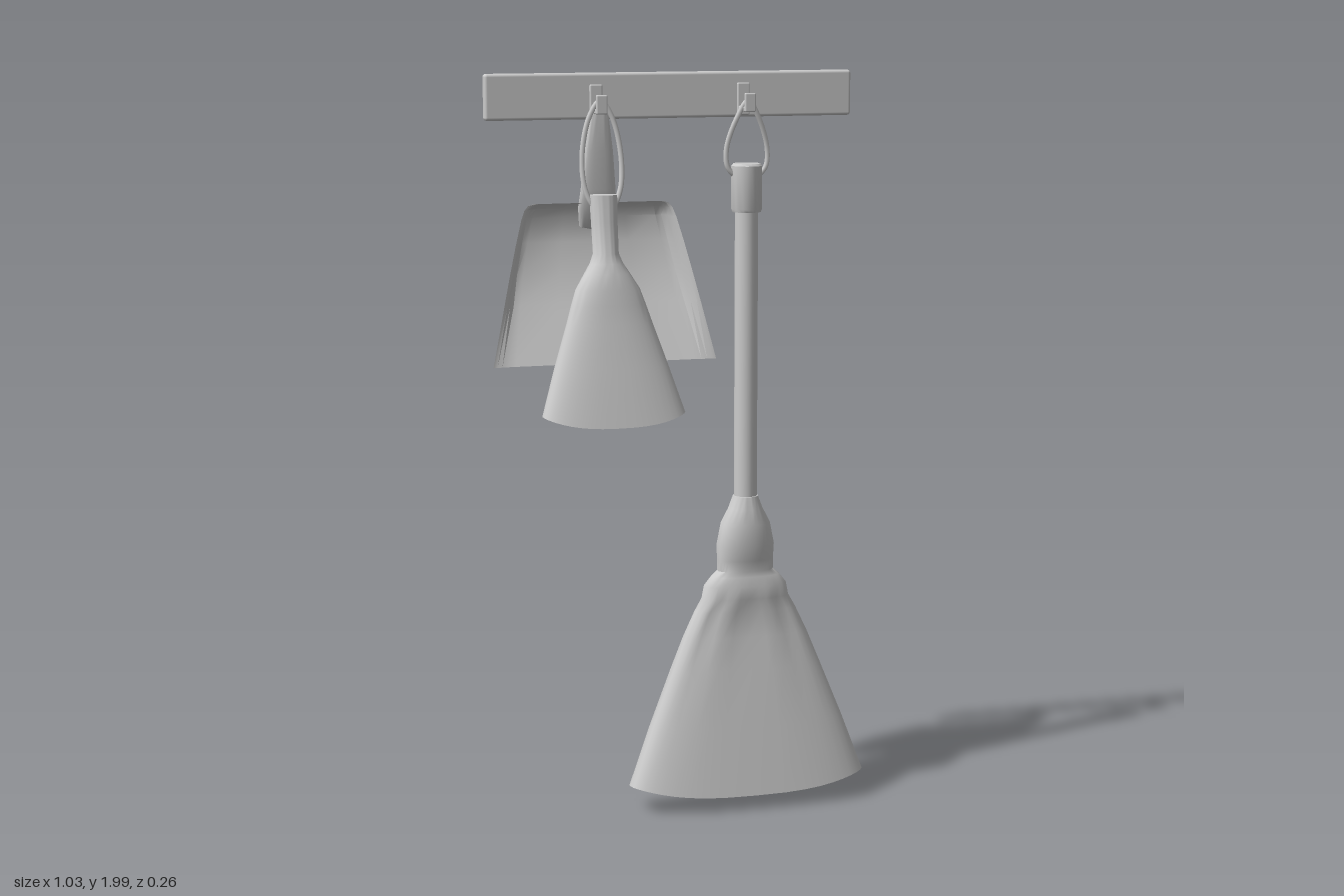
import * as THREE from 'three';
import { toCreasedNormals } from 'three/addons/utils/BufferGeometryUtils.js';
import { RoundedBoxGeometry } from 'three/addons/geometries/RoundedBoxGeometry.js';

const grey = new THREE.MeshStandardMaterial({ color: 0xcccccc });
const thin = new THREE.MeshStandardMaterial({ color: 0xcccccc, side: THREE.DoubleSide });

function add(parent, name, geometry, x = 0, y = 0, z = 0, material = grey) {
  const mesh = new THREE.Mesh(geometry, material);
  mesh.name = name;
  mesh.position.set(x, y, z);
  parent.add(mesh);
  return mesh;
}

// Surface from rows of equally many points; rows run downwards
function skin(rows, closed, crease = 0.7) {
  const n = rows[0].length, index = [];
  for (let i = 0; i < rows.length - 1; i++) {
    for (let j = 0; j < (closed ? n : n - 1); j++) {
      const k = (j + 1) % n;
      const a = i * n + j, b = i * n + k, c = b + n, d = a + n;
      index.push(a, b, c, a, c, d);
    }
  }
  const geo = new THREE.BufferGeometry();
  geo.setAttribute('position', new THREE.Float32BufferAttribute(rows.flat(2), 3));
  geo.setIndex(index);
  return toCreasedNormals(geo, crease);
}

// Flattened body from sections [y, halfWidth, halfDepth, zCentre, sag, tilt, ripple]
function loft(sections, sides = 40) {
  const rows = sections.map(([y, w, d, zc, sag = 0, tilt = 0, ripple = 0]) => {
    const e = Math.min(1, Math.max(0.6, 1 - 0.1 * (w / d - 1)));
    const row = [];
    for (let j = 0; j < sides; j++) {
      const a = (j / sides) * Math.PI * 2, c = Math.cos(a), s = Math.sin(a);
      const depth = d + ripple * Math.cos(a * 10);
      row.push([
        w * Math.sign(c) * Math.abs(c) ** e,
        y - sag * s * s + tilt * s,
        zc + depth * Math.sign(s) * Math.abs(s) ** e,
      ]);
    }
    return row;
  });
  return skin(rows, true);
}

// Teardrop hanging cord
function cord(points, radius) {
  const curve = new THREE.CatmullRomCurve3(points.map((p) => new THREE.Vector3(...p)), true);
  return new THREE.TubeGeometry(curve, 64, radius, 8, true);
}

function hook(x) {
  const g = new THREE.Group();
  g.name = 'hook';
  add(g, 'hookPlate', new RoundedBoxGeometry(0.034, 0.085, 0.012, 2, 0.004), x, 1.928, -0.1);
  add(g, 'hookArm', new RoundedBoxGeometry(0.03, 0.014, 0.07, 2, 0.004), x, 1.903, -0.069);
  add(g, 'hookTip', new RoundedBoxGeometry(0.03, 0.05, 0.012, 2, 0.004), x, 1.921, -0.04);
  return g;
}

function broom() {
  const g = new THREE.Group();
  g.name = 'broom';
  g.position.set(0.185, 0, -0.067);
  add(g, 'stick', new THREE.CylinderGeometry(0.031, 0.031, 0.85, 24), 0, 1.235, 0);
  const cap = [[0, 1.76], [0.036, 1.76], [0.041, 1.754], [0.041, 1.64], [0.038, 1.632], [0, 1.632]];
  add(g, 'stickCap', toCreasedNormals(new THREE.LatheGeometry(
    cap.reverse().map(([r, y]) => new THREE.Vector2(r, y)), 24), 0.6));
  add(g, 'broomHead', loft([
    [0.87, 0.001, 0.001, 0], [0.865, 0.034, 0.034, 0], [0.83, 0.047, 0.042, 0],
    [0.79, 0.068, 0.05, 0], [0.73, 0.08, 0.05, 0], [0.69, 0.078, 0.044, 0],
    [0.66, 0.078, 0.038, 0], [0.645, 0.095, 0.04, 0], [0.62, 0.115, 0.046, 0],
    [0.585, 0.122, 0.045, 0, 0, 0, 0.002], [0.55, 0.142, 0.04, 0, 0, 0, 0.004],
    [0.48, 0.175, 0.044, 0.002, 0, 0, 0.003], [0.39, 0.212, 0.052, 0.006, 0, 0, 0.001],
    [0.24, 0.272, 0.066, 0.014, 0.01, 0.005], [0.08, 0.331, 0.085, 0.022, 0.05, 0.02],
    [0.083, 0.312, 0.07, 0.022, 0.05, 0.02], [0.1, 0.3, 0.062, 0.022, 0.05, 0.02],
    [0.06, 0.001, 0.001, 0.022],
  ]));
  add(g, 'broomCord', cord([
    [0, 1.925, 0.012], [0.03, 1.88, 0.008], [0.056, 1.8, 0], [0.052, 1.75, 0], [0.025, 1.725, 0],
    [-0.025, 1.725, 0], [-0.052, 1.75, 0], [-0.056, 1.8, 0], [-0.03, 1.88, 0.008],
  ], 0.007));
  return g;
}

function handBrush() {
  const g = new THREE.Group();
  g.name = 'handBrush';
  g.position.x = -0.217;
  add(g, 'brushHead', loft([
    [1.692, 0.001, 0.001, -0.03], [1.69, 0.037, 0.026, -0.03], [1.62, 0.035, 0.027, -0.02],
    [1.54, 0.034, 0.03, -0.006], [1.515, 0.044, 0.035, -0.001], [1.49, 0.06, 0.041, 0.004],
    [1.45, 0.085, 0.044, 0.011], [1.41, 0.099, 0.044, 0.018], [1.36, 0.115, 0.045, 0.027],
    [1.25, 0.152, 0.051, 0.046], [1.13, 0.19, 0.058, 0.071, 0.027, -0.002],
    [1.133, 0.178, 0.047, 0.071, 0.027, -0.002], [1.15, 0.17, 0.042, 0.071, 0.027, -0.002],
    [1.13, 0.001, 0.001, 0.071],
  ]));
  add(g, 'brushCord', cord([
    [0, 1.93, -0.055], [0.03, 1.89, -0.053], [0.052, 1.79, -0.045], [0.046, 1.7, -0.032], [0.02, 1.655, -0.025],
    [-0.02, 1.655, -0.025], [-0.046, 1.7, -0.032], [-0.052, 1.79, -0.045], [-0.03, 1.89, -0.053],
  ], 0.007));
  return g;
}

function dustpan() {
  const g = new THREE.Group();
  g.name = 'dustpan';
  g.position.x = -0.215;
  // Tray rows: [y, halfWidth, rim z, floor z]
  const across = [[-1, 0], [-0.965, 0.1], [-0.92, 0.55], [-0.87, 0.92], [-0.8, 1], [-0.4, 1], [0, 1],
    [0.4, 1], [0.8, 1], [0.87, 0.92], [0.92, 0.55], [0.965, 0.1], [1, 0]];
  const rows = [
    [1.665, 0.175, -0.085, -0.085], [1.66, 0.19, -0.084, -0.1], [1.648, 0.2, -0.082, -0.122],
    [1.625, 0.209, -0.078, -0.134], [1.56, 0.227, -0.067, -0.128], [1.48, 0.247, -0.054, -0.115],
    [1.4, 0.266, -0.04, -0.085], [1.25, 0.301, -0.016, -0.022],
  ].map(([y, w, rim, floor]) => across.map(([s, t]) => [-s * w, y, rim + (floor - rim) * t]));
  add(g, 'panTray', skin(rows, false, 0.6), 0, 0, 0, thin);
  // Flat tapered handle rising from the back wall
  add(g, 'panHandle', loft([
    [1.915, 0.001, 0.001, -0.072], [1.912, 0.016, 0.008, -0.072], [1.89, 0.025, 0.01, -0.073],
    [1.8, 0.038, 0.012, -0.08], [1.7, 0.047, 0.014, -0.09], [1.65, 0.052, 0.018, -0.1],
    [1.6, 0.045, 0.012, -0.118], [1.59, 0.001, 0.001, -0.12],
  ], 24));
  return g;
}

export function createModel() {
  const model = new THREE.Group();
  model.name = 'cleaningSet';
  add(model, 'wallRail', new RoundedBoxGeometry(1.0, 0.12, 0.03, 2, 0.008), -0.011, 1.94, -0.12);
  model.add(hook(-0.217), hook(0.185), broom(), handBrush(), dustpan());
  return model;
}
